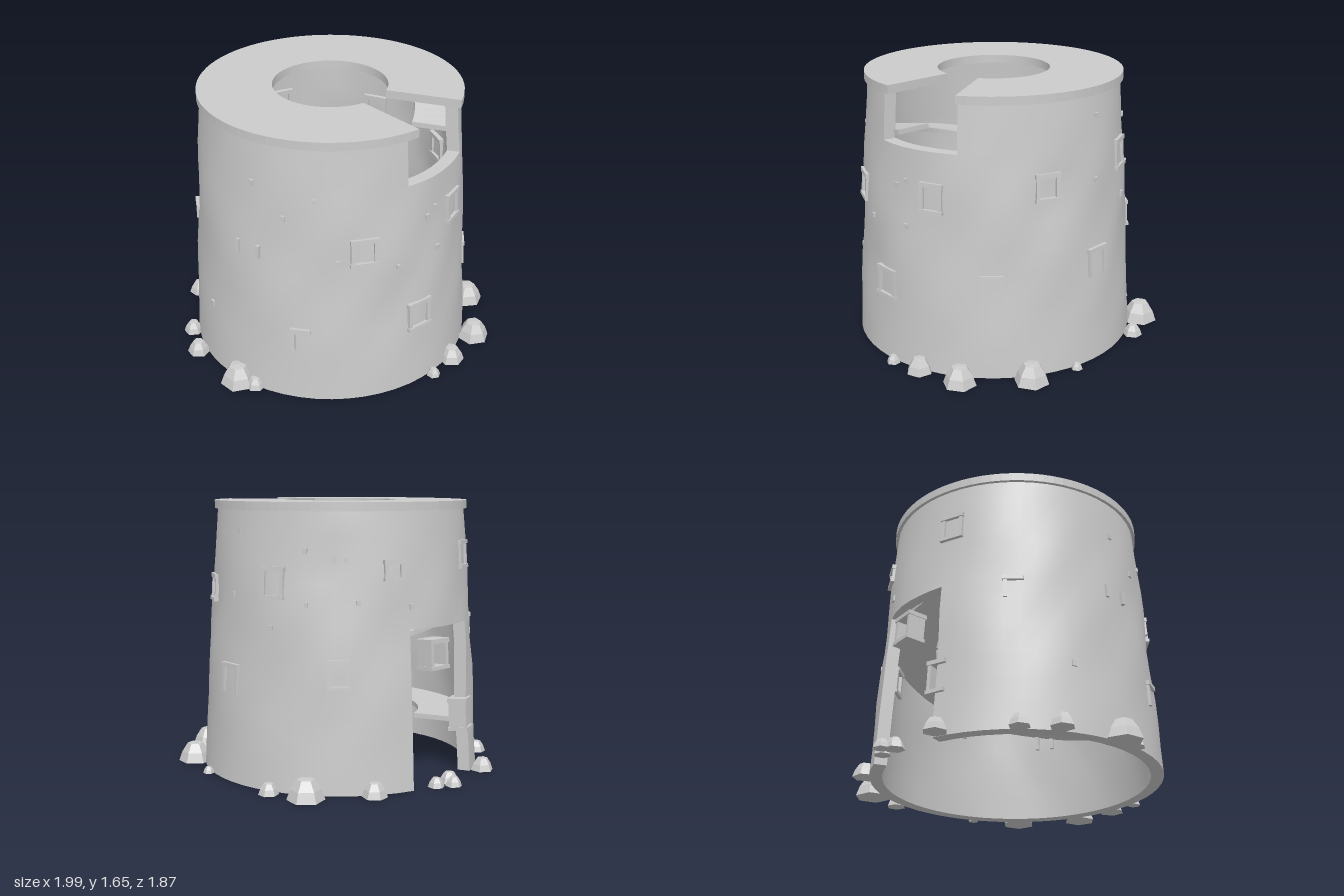
import * as THREE from 'three';
import { mergeGeometries } from 'three/addons/utils/BufferGeometryUtils.js';

const CX = -0.035, CZ = 0.06, THICK = 0.075;
const rad = THREE.MathUtils.degToRad;
const material = new THREE.MeshStandardMaterial({ color: 0xcccccc });
const flatMaterial = new THREE.MeshStandardMaterial({ color: 0xcccccc, flatShading: true });

// Angles are in degrees, from the front (+z) towards +x
const polar = (deg, y, r) => [CX + r * Math.sin(rad(deg)), y, CZ + r * Math.cos(rad(deg))];

// Tapering radius by height, with gentle waves and a few dents
const TAPER = [[0, 0.867], [0.35, 0.847], [0.6, 0.832], [0.9, 0.814], [1.1, 0.802], [1.4, 0.78], [1.6, 0.763]];
const DENTS = [[20, 0.57], [100, 1.0], [172, 1.3]];
function wallRadius(deg, y) {
  let i = 0;
  while (i < TAPER.length - 2 && y > TAPER[i + 1][0]) i++;
  const [[y0, r0], [y1, r1]] = [TAPER[i], TAPER[i + 1]];
  let r = r0 + (r1 - r0) * (y - y0) / (y1 - y0);
  const fade = Math.sin(Math.PI * y / 1.6);
  r += fade * (0.006 * Math.sin(rad(5 * deg) + 7 * y) + 0.004 * Math.sin(rad(11 * deg) - 9 * y));
  for (const [d, h] of DENTS) {
    const u = (((deg - d + 540) % 360) - 180) / 8, v = (y - h) / 0.09;
    r -= 0.02 * Math.exp(-u * u - v * v);
  }
  return r;
}

// Collects quads (corners counter-clockwise) into a flat-normal geometry
function quadGeometry(quads) {
  const pos = [];
  for (const [a, b, c, d] of quads) pos.push(...a, ...b, ...c, ...a, ...c, ...d);
  const g = new THREE.BufferGeometry();
  g.setAttribute('position', new THREE.Float32BufferAttribute(pos, 3));
  g.computeVertexNormals();
  return g;
}

// Hollow round wall with a notch at the top and a doorway on the other side
function buildWall() {
  const cols = [];
  for (const [a, b, n] of [[26, 65, 6], [65, 206, 22], [206, 243, 6], [243, 386, 22]])
    for (let i = 0; i < n; i++) cols.push(a + (b - a) * i / n);
  const rows = [0, 0.15, 0.3, 0.45, 0.62, 0.78, 0.93, 1.06, 1.19, 1.32, 1.46, 1.6];
  const N = cols.length, M = rows.length;
  const solid = (i, j) => {
    if (j < 0 || j >= M - 1) return false;
    i = (i + N) % N;
    if (i < 6 && rows[j] >= 1.32) return false;
    return !(i >= 28 && i < 34 && rows[j] < 0.93);
  };
  const at = (i, j, inset) => {
    const deg = cols[(i + N) % N];
    return polar(deg, rows[j], wallRadius(deg, rows[j]) - inset);
  };
  const skin = (inset) => {
    const pos = [], idx = [];
    for (let j = 0; j < M; j++) for (let i = 0; i < N; i++) pos.push(...at(i, j, inset));
    for (let j = 0; j < M - 1; j++) for (let i = 0; i < N; i++) {
      if (!solid(i, j)) continue;
      const a = j * N + i, b = j * N + (i + 1) % N, c = b + N, d = a + N;
      if (inset) idx.push(a, c, b, a, d, c);
      else idx.push(a, b, c, a, c, d);
    }
    const g = new THREE.BufferGeometry();
    g.setAttribute('position', new THREE.Float32BufferAttribute(pos, 3));
    g.setIndex(idx);
    g.computeVertexNormals();
    return g.toNonIndexed();
  };
  // Cut faces wherever a solid cell meets an opening
  const cuts = [], T = THICK;
  for (let j = 0; j < M - 1; j++) for (let i = 0; i < N; i++) {
    if (!solid(i, j)) continue;
    if (!solid(i, j + 1)) cuts.push([at(i, j + 1, 0), at(i + 1, j + 1, 0), at(i + 1, j + 1, T), at(i, j + 1, T)]);
    if (!solid(i, j - 1)) cuts.push([at(i, j, T), at(i + 1, j, T), at(i + 1, j, 0), at(i, j, 0)]);
    if (!solid(i + 1, j)) cuts.push([at(i + 1, j, 0), at(i + 1, j, T), at(i + 1, j + 1, T), at(i + 1, j + 1, 0)]);
    if (!solid(i - 1, j)) cuts.push([at(i, j, T), at(i, j, 0), at(i, j + 1, 0), at(i, j + 1, T)]);
  }
  const wall = new THREE.Mesh(mergeGeometries([skin(0), skin(T), quadGeometry(cuts)]), material);
  wall.name = 'towerWall';
  return wall;
}

// Flat ring roof with a broken-out wedge above the notch
function buildRoof() {
  const start = rad(59.5), end = rad(385.5);
  const shape = new THREE.Shape();
  shape.absarc(0, 0, 0.782, start, end, false);
  shape.absarc(0, 0, 0.34, end, start + rad(4), true);
  shape.closePath();
  const g = new THREE.ExtrudeGeometry(shape, { depth: 0.05, bevelEnabled: false, curveSegments: 36 });
  g.rotateX(Math.PI / 2);
  const roof = new THREE.Mesh(g, material);
  roof.position.set(CX, 1.65, CZ);
  roof.name = 'roofRing';
  return roof;
}

// Inner walkway: a low landing that winds up the wall to the roof
function buildRamp(from, to) {
  const n = Math.ceil((to - from) / 6), quads = [];
  const ring = (i) => {
    const deg = from + (to - from) * i / n;
    const y = Math.max(0.33, 1.38 + (deg - 750) * 0.0026);
    const out = wallRadius(deg % 360, y) - THICK + 0.01;
    return [polar(deg, y, 0.5), polar(deg, y, out), polar(deg, y - 0.03, out), polar(deg, y - 0.03, 0.5)];
  };
  for (let i = 0; i < n; i++) {
    const a = ring(i), b = ring(i + 1);
    for (let k = 0; k < 4; k++) {
      const m = (k + 1) % 4;
      quads.push([a[k], a[m], b[m], b[k]]);
    }
  }
  const [s, e] = [ring(0), ring(n)];
  quads.push([s[3], s[2], s[1], s[0]], e);
  const ramp = new THREE.Mesh(quadGeometry(quads), material);
  ramp.name = 'innerRamp';
  return ramp;
}

// Window surround: any of top, bottom, left and right bars
function buildWindow(deg, y, w, h, bars) {
  const group = new THREE.Group();
  const bar = (name, bw, bh, x, by, depth) => {
    const m = new THREE.Mesh(new THREE.BoxGeometry(bw, bh, depth), material);
    m.position.set(x, by, -0.042);
    m.name = name;
    group.add(m);
  };
  if (bars.includes('t')) bar('lintel', w, 0.026, 0, h / 2 - 0.013, 0.12);
  if (bars.includes('b')) bar('sill', w, 0.022, 0, -h / 2 + 0.011, 0.12);
  if (bars.includes('l')) bar('leftJamb', 0.022, h - 0.03, -w / 2 + 0.016, 0, 0.108);
  if (bars.includes('r')) bar('rightJamb', 0.022, h - 0.03, w / 2 - 0.016, 0, 0.108);
  group.position.set(...polar(deg, y, wallRadius(deg, y)));
  group.rotation.set(-0.06, rad(deg), 0, 'YXZ');
  group.name = 'windowFrame';
  return group;
}

// Six-sided boulder with a flat base
function buildRock(x, z, r, i) {
  const h = r * 1.12;
  const profile = [[0, 0], [r, 0], [r * 0.8, h * 0.5], [r * 0.47, h * 0.96], [0, h]];
  const g = new THREE.LatheGeometry(profile.map(([a, b]) => new THREE.Vector2(a, b)), 6);
  const rock = new THREE.Mesh(g, flatMaterial);
  rock.position.set(x, 0, z);
  rock.rotation.y = Math.PI / 6 + Math.sin(i * 2.3) * 0.15;
  rock.name = 'rock';
  return rock;
}

export function createModel() {
  const model = new THREE.Group();
  model.name = 'ruinedTower';
  // The ramp is broken where the notch cuts through it
  model.add(buildWall(), buildRoof(), buildRamp(243, 750), buildRamp(785, 834));

  // Windows: angle, height, width, height of frame, bars present
  const windows = [
    [6.5, 0.98, 0.165, 0.17, 'tblr'], [54, 1.055, 0.15, 0.18, 'tblr'], [31, 0.475, 0.17, 0.185, 'tblr'],
    [-18.6, 0.4, 0.12, 0.17, 'tl'], [-41.5, 0.935, 0.17, 0.11, 'lr'], [102, 1.122, 0.155, 0.165, 'tblr'],
    [148, 1.195, 0.155, 0.185, 'tblr'], [79, 0.54, 0.13, 0.175, 'tlr'], [126, 0.61, 0.16, 0.19, 'tlr'],
    [176, 0.69, 0.13, 0.17, 'tblr'], [199, 1.27, 0.13, 0.12, 'tblr'], [246, 1.33, 0.15, 0.17, 'tblr'],
    [221, 0.77, 0.16, 0.18, 'tblr'], [243, 0.36, 0.12, 0.2, 'tbl'], [273, 0.86, 0.12, 0.15, 'tl'],
  ];
  for (const w of windows) model.add(buildWindow(...w));

  // Small stones standing proud of the wall: angle, height
  const stones = [
    [20.5, 0.85], [42, 0.86], [36, 1.085], [41, 1.125], [-40, 1.35], [-26, 1.175], [-13, 1.3], [-4, 0.92],
    [-64, 0.41], [128, 1.48], [126, 1.11], [148, 0.94], [163, 1.08], [162, 1.38], [174, 1.33], [179, 1.33],
    [184, 1.09], [207, 1.06],
  ];
  stones.forEach(([deg, y], i) => {
    const s = 0.022 + 0.004 * (i % 3);
    const stone = new THREE.Mesh(new THREE.BoxGeometry(s, s * 1.2, 0.04), material);
    stone.position.set(...polar(deg, y, wallRadius(deg, y) - 0.01));
    stone.rotation.y = rad(deg);
    stone.name = 'wallStone';
    model.add(stone);
  });

  // Boulders round the foot: x, z, radius
  const rocks = [
    [0.21, -0.85, 0.11], [0.42, -0.74, 0.06], [-0.18, -0.82, 0.075], [-0.66, -0.63, 0.05], [-0.555, -0.645, 0.05],
    [-0.645, -0.56, 0.06], [-0.89, -0.305, 0.07], [-0.935, 0.14, 0.062], [-0.905, 0.36, 0.07], [-0.67, 0.68, 0.11],
    [-0.57, 0.74, 0.06], [0.893, 0.01, 0.105], [0.84, 0.42, 0.1], [0.65, 0.63, 0.08], [0.51, 0.77, 0.042],
    [0.79, -0.285, 0.035],
  ];
  rocks.forEach(([x, z, r], i) => model.add(buildRock(x, z, r, i)));
  return model;
}
